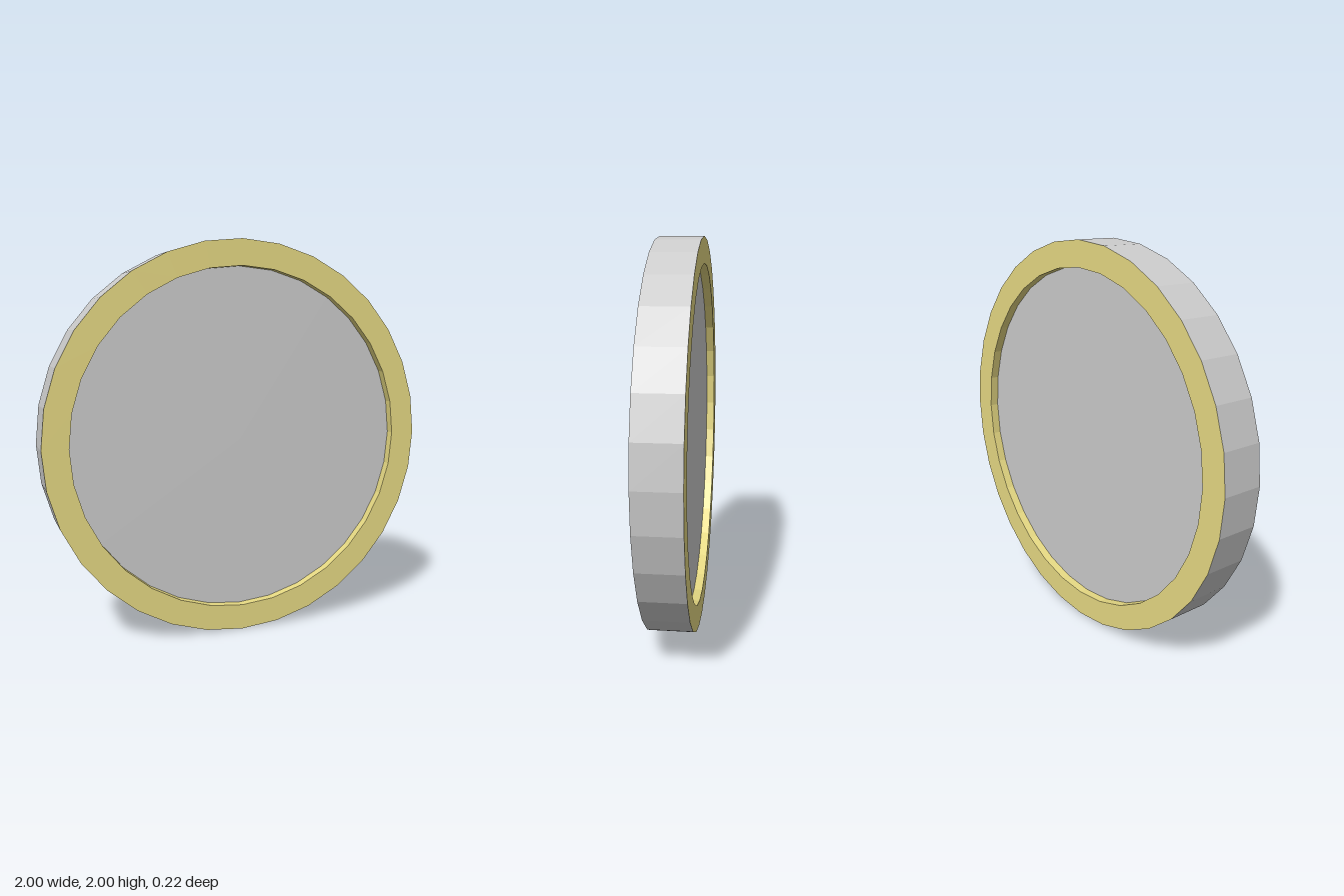
import * as THREE from 'three';

const SIDES = 32;
const OUTER = 1, INNER = 0.87;      // rim radii
const HALF = 0.11, FLOOR = 0.065;   // rim face and recessed face distance from the middle

const grey = new THREE.MeshStandardMaterial({ color: 0xcccccc, flatShading: true });
const gold = new THREE.MeshStandardMaterial({ color: 0xe6d983, flatShading: true });

// Ring turned about the z axis from [radius, depth] pairs
function turned(name, profile, material) {
  const points = profile.map(([r, d]) => new THREE.Vector2(r, d));
  const geometry = new THREE.LatheGeometry(points, SIDES).rotateX(Math.PI / 2);
  const mesh = new THREE.Mesh(geometry, material);
  mesh.name = name;
  return mesh;
}

// One side of the disc: raised rim with its inner wall, and the recessed face
function createSide(name) {
  const side = new THREE.Group();
  side.name = name;
  side.add(turned('rim', [[OUTER, HALF], [INNER, HALF], [INNER, FLOOR]], gold));

  const face = new THREE.Mesh(new THREE.CircleGeometry(INNER, SIDES), grey);
  face.name = 'recessedFace';
  face.position.z = FLOOR;
  side.add(face);
  return side;
}

export function createModel() {
  const model = new THREE.Group();
  model.name = 'coin';

  const disc = new THREE.Group();
  disc.name = 'disc';
  disc.position.y = OUTER;
  model.add(disc);

  // Outer edge
  disc.add(turned('edge', [[OUTER, -HALF], [OUTER, HALF]], grey));

  // Front, and the same turned round for the back
  const back = createSide('backSide');
  back.rotation.y = Math.PI;
  disc.add(createSide('frontSide'), back);

  return model;
}
